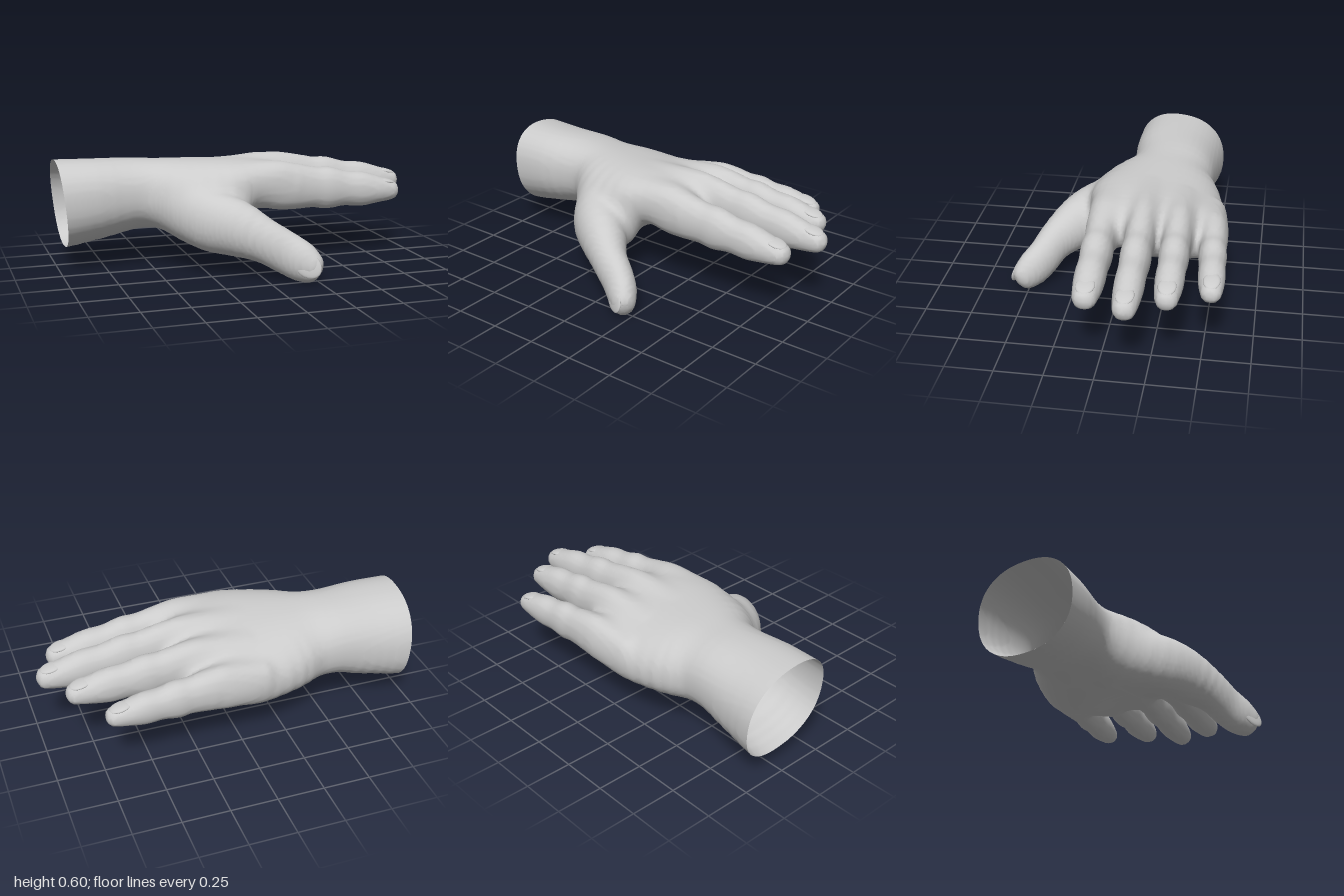
import * as THREE from 'three';

const skin = new THREE.MeshStandardMaterial({ color: 0xcccccc, side: THREE.DoubleSide });

// Cubic interpolation through stations of the form [x, y, z, halfWidth, halfHeight, shear]
function sample(stations, f) {
  const last = stations.length - 1;
  const i = Math.min(Math.floor(f), last - 1), t = f - i;
  const [a, b, c, d] = [i - 1, i, i + 1, i + 2].map(k => stations[Math.max(0, Math.min(last, k))]);
  return b.map((v, k) => v + 0.5 * t * (c[k] - a[k] +
    t * (2 * a[k] - 5 * v + 4 * c[k] - d[k] + t * (3 * (v - c[k]) + d[k] - a[k]))));
}

// Signed distance to a limb with elliptical sections along a path, rounded at the end
function limb(stations, { cap = 0.05, power = 2, straight = false } = {}) {
  const steps = 3, count = (stations.length - 1) * steps, up = new THREE.Vector3(0, 1, 0);
  const rings = [], segments = [], box = new THREE.Box3();
  for (let i = 0; i <= count; i++) {
    const ring = sample(stations, i / steps), r = Math.max(ring[3], ring[4]);
    const centre = new THREE.Vector3(...ring);
    rings.push({ ring, centre });
    box.expandByPoint(centre.clone().addScalar(r)).expandByPoint(centre.clone().subScalar(r));
  }
  for (let i = 0; i < count; i++) {
    const a = rings[i], b = rings[i + 1], step = b.centre.clone().sub(a.centre);
    const along = straight ? new THREE.Vector3(1, 0, 0) : step.clone().normalize();
    const across = along.clone().cross(up).normalize();
    segments.push({ a, b, step, along, across, over: across.clone().cross(along),
      length: step.dot(along), end: i === count - 1 });
  }
  const d = new THREE.Vector3();
  return point => {
    const far = box.distanceToPoint(point);
    if (far > 0.12) return far;
    let best = Infinity;
    for (const s of segments) {
      const reach = d.subVectors(point, s.a.centre).dot(s.along) / s.length;
      const t = Math.min(1, Math.max(0, reach));
      d.addScaledVector(s.step, -t);
      const [w, h, shear] = [3, 4, 5].map(k => s.a.ring[k] + (s.b.ring[k] - s.a.ring[k]) * t);
      const tip = s.end && reach > 1 ? cap : Math.min(w, h);
      const u = d.dot(s.across) / w, v = (d.dot(s.over) - u * shear) / h, l = d.dot(s.along) / tip;
      const q = Math.hypot((Math.abs(u) ** power + Math.abs(v) ** power) ** (1 / power), l);
      best = Math.min(best, q * (q - 1) / Math.max(Math.hypot(u / w, v / h, l / tip), 1e-4));
    }
    return best;
  };
}

// Union of two distances with a soft fillet of size k
const blend = (a, b, k) => Math.min(a, b) - Math.max(k - Math.abs(a - b), 0) ** 2 / (4 * k);

// One continuous skin over a distance field; the first x layer stays open
function skinOver(field, min, size, cell) {
  const n = size.map(s => Math.ceil(s / cell) + 1), stride = [1, n[0], n[0] * n[1]];
  const total = n[0] * n[1] * n[2], values = new Float32Array(total), p = new THREE.Vector3();
  const coords = id => [id % n[0], Math.floor(id / n[0]) % n[1], Math.floor(id / stride[2])];
  for (let id = 0; id < total; id++) {
    values[id] = field(p.fromArray(coords(id).map((c, a) => min[a] + c * cell)));
  }
  const vertexOf = new Int32Array(total).fill(-1), pos = [], index = [];
  for (let id = 0; id < total; id++) {
    const c = coords(id);
    if (c.some((v, a) => v === n[a] - 1)) continue;
    // Cell vertex: the mean of the crossings on the cell's edges
    const sum = [0, 0, 0];
    let hits = 0;
    for (let corner = 0; corner < 8; corner++) {
      const bits = [corner & 1, corner >> 1 & 1, corner >> 2];
      const from = id + bits[0] + bits[1] * stride[1] + bits[2] * stride[2];
      for (let a = 0; a < 3; a++) {
        const v0 = values[from], v1 = values[from + stride[a]];
        if (bits[a] || v0 < 0 === v1 < 0) continue;
        bits.forEach((b, k) => { sum[k] += b + (k === a ? v0 / (v0 - v1) : 0); });
        hits++;
      }
    }
    if (!hits) continue;
    vertexOf[id] = pos.length / 3;
    pos.push(...c.map((v, a) => min[a] + cell * (v + (a === 0 && v === 0 ? 0 : sum[a] / hits))));
    // Quads around the edges that cross the surface
    for (let a = 0; a < 3; a++) {
      const b = (a + 1) % 3, e = (a + 2) % 3, inside = values[id] < 0;
      if (!c[b] || !c[e] || inside === values[id + stride[a]] < 0) continue;
      const q = [id, id - stride[b], id - stride[b] - stride[e], id - stride[e]].map(k => vertexOf[k]);
      if (!inside) q.reverse();
      index.push(q[0], q[1], q[2], q[0], q[2], q[3]);
    }
  }
  const geo = new THREE.BufferGeometry();
  geo.setAttribute('position', new THREE.Float32BufferAttribute(pos, 3));
  geo.setIndex(index);
  return geo;
}

// Thin domed nail lying along one direction and facing another
function nail(name, centre, along, facing, length, width) {
  const x = new THREE.Vector3(...along).normalize();
  const z = x.clone().cross(new THREE.Vector3(...facing)).normalize();
  const mesh = new THREE.Mesh(new THREE.SphereGeometry(1, 20, 12), skin);
  mesh.name = name;
  mesh.quaternion.setFromRotationMatrix(new THREE.Matrix4().makeBasis(x, z.clone().cross(x), z));
  mesh.scale.set(length / 2, 0.014, width / 2);
  mesh.position.set(...centre);
  return mesh;
}

// Wrist and palm
const palm = limb([
  [-1, 0.355, -0.22, 0.26, 0.243, 0.03], [-0.8, 0.37, -0.21, 0.25, 0.225, 0.03],
  [-0.6, 0.39, -0.21, 0.235, 0.2, 0.02], [-0.45, 0.388, -0.2, 0.25, 0.194, 0.03],
  [-0.3, 0.382, -0.185, 0.325, 0.198, 0.04], [-0.1, 0.385, -0.18, 0.372, 0.188, 0.06],
  [0.05, 0.403, -0.2, 0.362, 0.16, 0.065], [0.17, 0.41, -0.207, 0.345, 0.13, 0.065],
  [0.25, 0.405, -0.205, 0.32, 0.1, 0.05],
], { cap: 0.05, power: 2.3, straight: true });

// Thumb, and the fleshy pad joining it to the palm
const thumb = limb([
  [-0.48, 0.38, -0.08, 0.06, 0.09, 0], [-0.37, 0.335, 0.04, 0.1, 0.135, 0],
  [-0.25, 0.295, 0.185, 0.123, 0.16, 0], [-0.13, 0.268, 0.275, 0.127, 0.152, 0],
  [0, 0.21, 0.38, 0.095, 0.118, 0], [0.1, 0.152, 0.435, 0.084, 0.112, 0],
  [0.165, 0.112, 0.482, 0.079, 0.107, 0], [0.21, 0.08, 0.524, 0.062, 0.082, 0],
], { cap: 0.052 });
const thumbPad = limb([
  [-0.42, 0.37, -0.08, 0.06, 0.11, 0], [-0.3, 0.32, 0.03, 0.11, 0.16, 0],
  [-0.18, 0.295, 0.11, 0.11, 0.16, 0], [-0.07, 0.305, 0.14, 0.07, 0.1, 0],
]);

// Finger shape: position along the finger, half width, half height
const fingerProfile = [
  [-0.35, 0.05, 0.08], [-0.1, 0.074, 0.118], [0.03, 0.083, 0.135],
  [0.18, 0.083, 0.13], [0.34, 0.078, 0.116], [0.45, 0.082, 0.121], [0.6, 0.075, 0.1],
  [0.74, 0.077, 0.1], [0.88, 0.072, 0.078], [1, 0.06, 0.058],
];

// Knuckle and fingertip positions, with overall scale of width and height
const fingers = [
  { name: 'index', from: [0.16, 0.44, 0.075], to: [0.857, 0.375, 0.065], w: 1.02, h: 0.97 },
  { name: 'middle', from: [0.19, 0.463, -0.135], to: [0.95, 0.392, -0.142], w: 0.97, h: 1 },
  { name: 'ring', from: [0.17, 0.44, -0.322], to: [0.84, 0.395, -0.33], w: 0.95, h: 0.95 },
  { name: 'little', from: [0.1, 0.385, -0.5], to: [0.69, 0.36, -0.533], w: 0.9, h: 0.87 },
].map(f => ({ ...f, field: limb(fingerProfile.map(([t, w, h]) => [
  ...f.from.map((v, k) => v + (f.to[k] - v) * (k === 0 ? t : Math.max(t, -0.1))), w * f.w, h * f.h, 0,
]), { power: 2.15 }) }));

export function createModel() {
  const hand = new THREE.Group();
  hand.name = 'hand';

  // Palm, fingers and thumb joined under one skin
  const shifted = new THREE.Vector3();
  const geo = skinOver(point => {
    // The palm ends sooner beside the little finger
    shifted.copy(point).x += 0.4 * Math.max(0, -0.32 - point.z) * THREE.MathUtils.smoothstep(point.x, 0, 0.2);
    const digits = Math.min(...fingers.map(f => f.field(point)));
    return blend(blend(palm(shifted), digits, 0.055), blend(thumb(point), thumbPad(point), 0.06), 0.08);
  }, [-1, -0.04, -0.65], [2.04, 0.7, 1.3], 0.018);
  const p = geo.attributes.position;
  for (let i = 0; i < p.count; i++) {
    const x = p.getX(i), y = p.getY(i), z = p.getZ(i);
    // Slanted wrist edge, and a shallow hollow under the palm
    p.setX(i, x + Math.max(0, -0.8 - x) * Math.max(0, 0.6 - y) * 0.5);
    if (y < 0.35) p.setY(i, y + 0.03 * Math.exp(-(((x + 0.02) / 0.14) ** 2) - ((z + 0.15) / 0.14) ** 2));
  }
  geo.computeVertexNormals();
  const body = new THREE.Mesh(geo, skin);
  body.name = 'palmFingersAndThumb';
  hand.add(body);

  // Nails
  for (const { name, to, w, h } of fingers) {
    hand.add(nail(name + 'Nail', [to[0] - 0.03, to[1] + 0.057 * h, to[2]],
      [1, -0.24, 0], [0, 1, 0], 0.12, 0.095 * w));
  }
  hand.add(nail('thumbNail', [0.17, 0.112, 0.551], [0.1, -0.09, 0.07], [-0.4, 0.2, 0.9], 0.17, 0.125));
  return hand;
}
